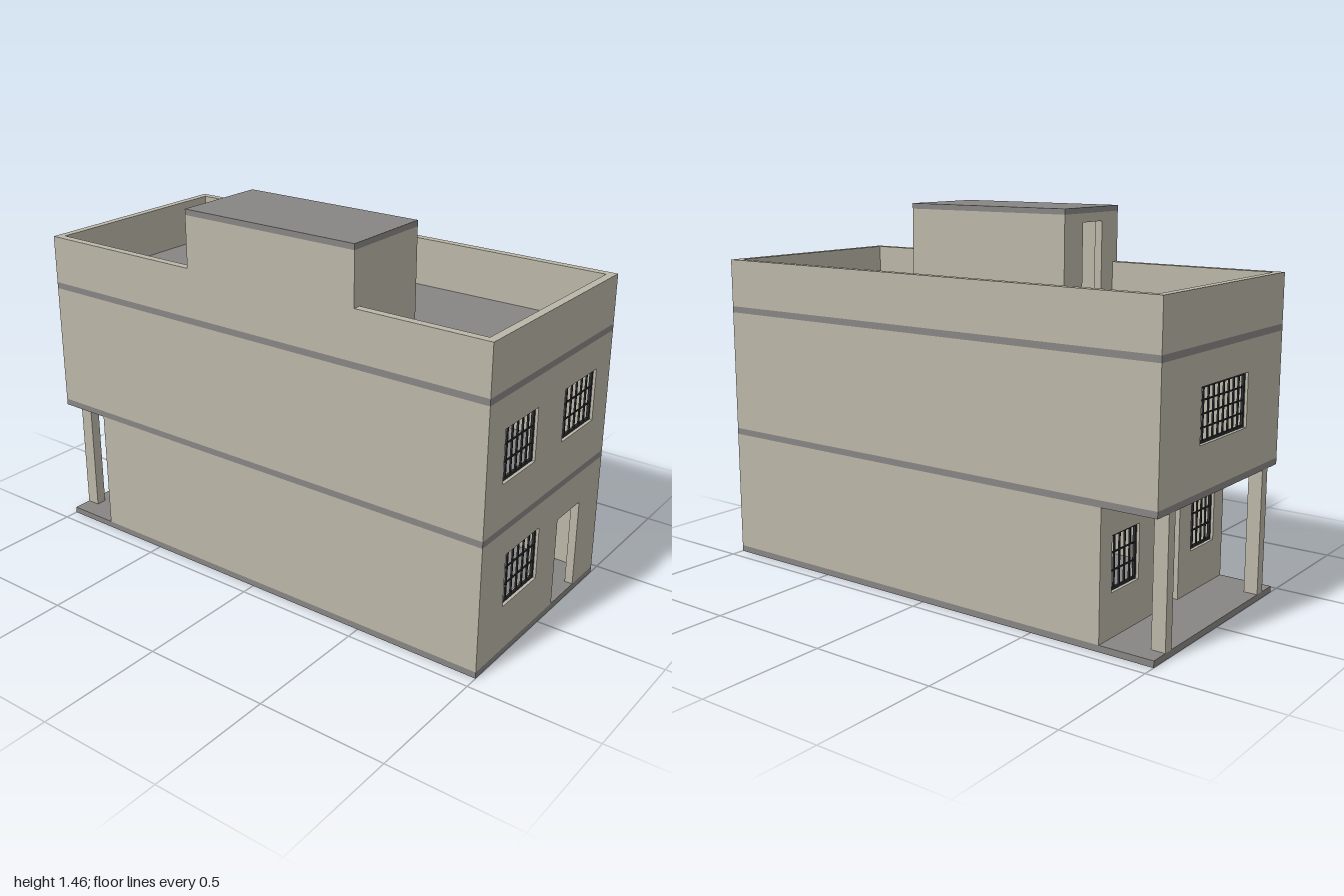
import * as THREE from 'three';

const W = 0.445, D = 1, T = 0.032;          // half width, half depth, wall thickness
const PORCH = -0.785;                       // outer face of the recessed rear wall

const mat = (name, color) => {
  const m = new THREE.MeshStandardMaterial({ color });
  m.name = name;
  return m;
};

export function createModel() {
  const plaster = mat('beige plaster', 0xbab5a7);
  const concrete = mat('grey concrete', 0x868583);
  const iron = mat('dark iron', 0x2a2c30);
  const house = new THREE.Group();
  house.name = 'house';

  // box given by its minimum and maximum on each axis
  function box(name, material, x0, x1, y0, y1, z0, z1, parent = house) {
    const mesh = new THREE.Mesh(new THREE.BoxGeometry(x1 - x0, y1 - y0, z1 - z0), material);
    mesh.position.set((x0 + x1) / 2, (y0 + y1) / 2, (z0 + z1) / 2);
    mesh.name = name;
    parent.add(mesh);
    return mesh;
  }

  // wall across x, starting at z0, with an optional doorway [x0, x1, top] and windows
  function wall(name, x0, x1, y0, y1, z0, door, windows = []) {
    const s = new THREE.Shape();
    s.moveTo(x0, y0);
    if (door) {
      s.lineTo(door[0], y0);
      s.lineTo(door[0], door[2]);
      s.lineTo(door[1], door[2]);
      s.lineTo(door[1], y0);
    }
    s.lineTo(x1, y0);
    s.lineTo(x1, y1);
    s.lineTo(x0, y1);
    s.closePath();
    for (const w of windows) {
      const h = new THREE.Path();
      h.moveTo(w.x0, w.y0);
      h.lineTo(w.x0, w.y1);
      h.lineTo(w.x1, w.y1);
      h.lineTo(w.x1, w.y0);
      h.closePath();
      s.holes.push(h);
      grille(w, z0 + T / 2);
    }
    const mesh = new THREE.Mesh(new THREE.ExtrudeGeometry(s, { depth: T, bevelEnabled: false }), plaster);
    mesh.position.z = z0;
    mesh.name = name;
    house.add(mesh);
  }

  // window frame with a grid of bars
  function grille({ x0, x1, y0, y1, cols, rows }, z) {
    const g = new THREE.Group();
    g.name = 'windowGrille';
    house.add(g);
    for (let i = 0; i <= cols; i++) {
      const edge = i === 0 || i === cols, h = edge ? 0.005 : 0.003;
      const x = THREE.MathUtils.lerp(x0 + 0.005, x1 - 0.005, i / cols);
      box('uprightBar', iron, x - h, x + h, y0, y1, z - h, z + h, g);
    }
    for (let j = 0; j <= rows; j++) {
      const edge = j === 0 || j === rows, h = edge ? 0.0045 : 0.0025;
      const y = THREE.MathUtils.lerp(y0 + 0.005, y1 - 0.005, j / rows);
      box('crossBar', iron, x0 + 0.001, x1 - 0.001, y - h, y + h, z - h, z + h, g);
    }
  }
  const win = (x0, x1, y0, y1, cols, rows) => ({ x0, x1, y0, y1, cols, rows });

  // floor slabs, showing as bands around the house
  box('baseSlab', concrete, -W, W, 0, 0.025, -D, D);
  box('upperFloorSlab', concrete, -W, W, 0.51, 0.535, -D, D);
  box('roofSlab', concrete, -W, W, 1.02, 1.045, -D, D);

  // ground floor
  wall('groundFrontWall', -W, W, 0.025, 0.51, D - T, [0.105, 0.28, 0.38],
    [win(-0.28, -0.04, 0.205, 0.412, 6, 3)]);
  wall('groundRearWall', -W, W, 0.025, 0.51, PORCH, [-0.1, 0.07, 0.4],
    [win(-0.37, -0.19, 0.19, 0.395, 5, 3), win(0.19, 0.37, 0.19, 0.395, 5, 3)]);

  // upper floor
  wall('upperFrontWall', -W, W, 0.535, 1.02, D - T, null,
    [win(-0.332, -0.11, 0.7, 0.902, 6, 3), win(0.088, 0.33, 0.7, 0.902, 6, 3)]);
  wall('upperRearWall', -W, W, 0.535, 1.02, -D, null,
    [win(-0.175, 0.172, 0.7, 0.902, 9, 4)]);

  // side walls and porch columns
  for (const s of [-1, 1]) {
    const a = s < 0 ? -W : W - T;
    box('groundSideWall', plaster, a, a + T, 0.025, 0.51, PORCH + T, D - T);
    box('upperSideWall', plaster, a, a + T, 0.535, 1.02, -D + T, D - T);
    box('porchColumn', plaster, s * 0.348 - 0.021, s * 0.348 + 0.021, 0.025, 0.51, -D, -0.945);
  }

  // parapet, broken on one side by the stair house
  const P0 = 1.045, P1 = 1.235, S0 = -0.28, S1 = 0.47, SX = -0.07, ST = 1.435;
  box('frontParapet', plaster, -W, W, P0, P1, D - T, D);
  box('rearParapet', plaster, -W, W, P0, P1, -D, -D + T);
  box('leftParapet', plaster, W - T, W, P0, P1, -D + T, D - T);
  box('rightRearParapet', plaster, -W, -W + T, P0, P1, -D + T, S0);
  box('rightFrontParapet', plaster, -W, -W + T, P0, P1, S1, D - T);

  // stair house on the roof, with its doorway at the rear
  wall('stairHouseRearWall', -W, SX, P0, ST, S0, [-0.33, -0.195, 1.4]);
  wall('stairHouseFrontWall', -W, SX, P0, ST, S1 - T);
  box('stairHouseRightWall', plaster, -W, -W + T, P0, ST, S0 + T, S1 - T);
  box('stairHouseLeftWall', plaster, SX - T, SX, P0, ST, S0 + T, S1 - T);
  box('stairHouseRoof', concrete, -W, SX, ST, 1.457, S0, S1);

  return house;
}
